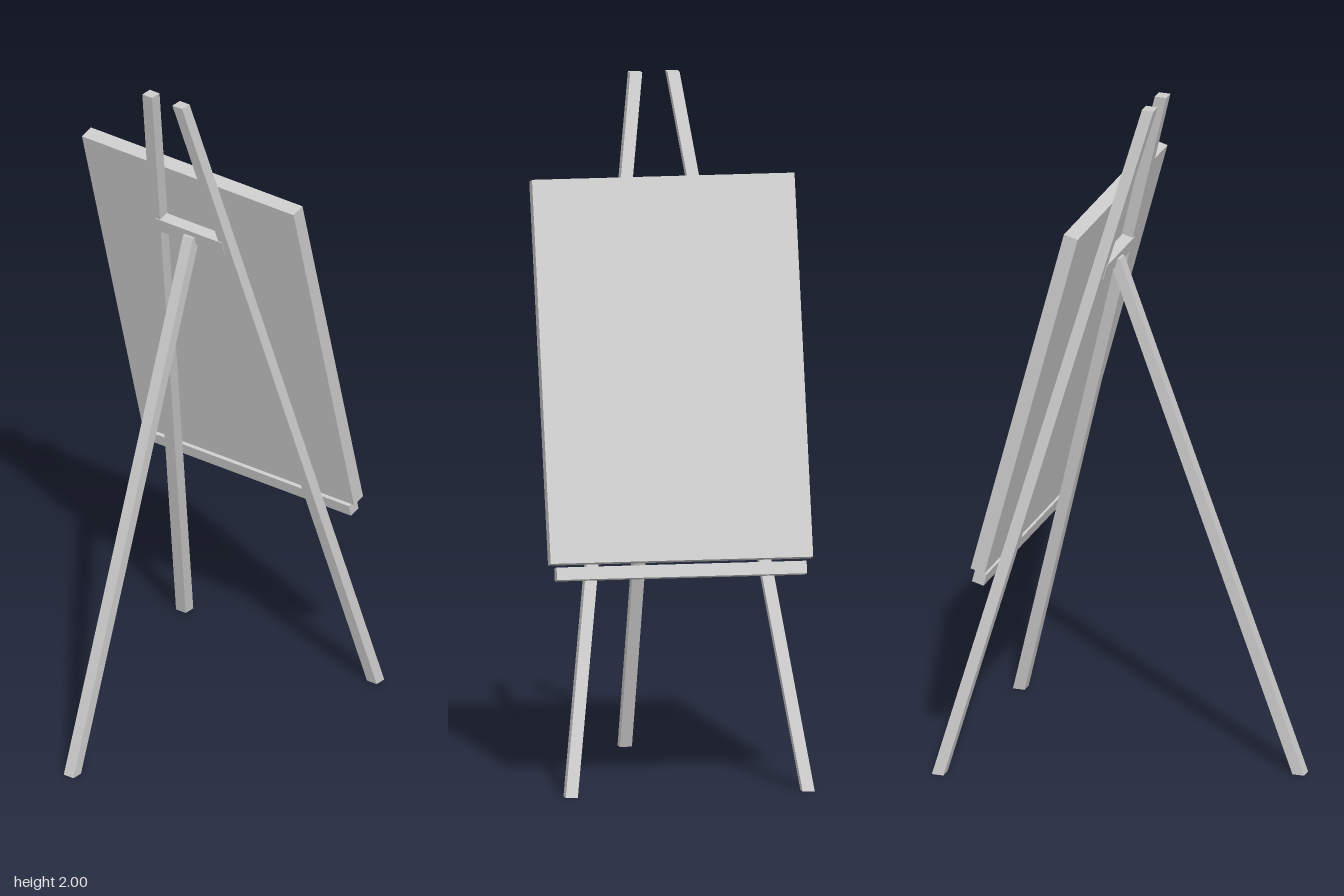
import * as THREE from 'three';

const TILT = Math.atan(0.265); // backward lean of the legs and board
const material = new THREE.MeshStandardMaterial({ color: 0xcccccc, flatShading: true });

// Slanted square bar with level ends, running from the bottom to the top centre
function slantedBar(name, bottom, top, width = 0.035) {
  const height = top[1] - bottom[1];
  const geo = new THREE.BoxGeometry(width, height, width);
  const pos = geo.attributes.position;
  for (let i = 0; i < pos.count; i++) {
    const end = pos.getY(i) > 0 ? top : bottom;
    pos.setXYZ(i, pos.getX(i) + end[0], end[1], pos.getZ(i) + end[2]);
  }
  geo.computeVertexNormals();
  const mesh = new THREE.Mesh(geo, material);
  mesh.name = name;
  return mesh;
}

// Box leaning back with the front legs
function leaningBox(name, size, x, y) {
  const mesh = new THREE.Mesh(new THREE.BoxGeometry(...size), material);
  mesh.name = name;
  mesh.position.set(x, y, 0);
  mesh.rotation.z = TILT;
  return mesh;
}

export function createModel() {
  const easel = new THREE.Group();
  easel.name = 'easel';

  // Pair of front legs, converging toward the top
  for (const side of [-1, 1]) {
    easel.add(slantedBar(side > 0 ? 'frontLegA' : 'frontLegB',
      [0.481, 0, side * 0.343], [-0.05, 2, side * 0.054]));
  }

  // Single rear leg meeting the crossbar
  easel.add(slantedBar('rearLeg', [-0.485, 0, 0], [0.07, 1.51, 0]));
  easel.add(leaningBox('crossbar', [0.034, 0.045, 0.24], 0.078, 1.51));

  // Drawing board and the ledge beneath it
  easel.add(leaningBox('board', [0.043, 1.1, 0.76], 0.213, 1.182));
  easel.add(leaningBox('ledge', [0.036, 0.036, 0.724], 0.355, 0.622));

  return easel;
}
